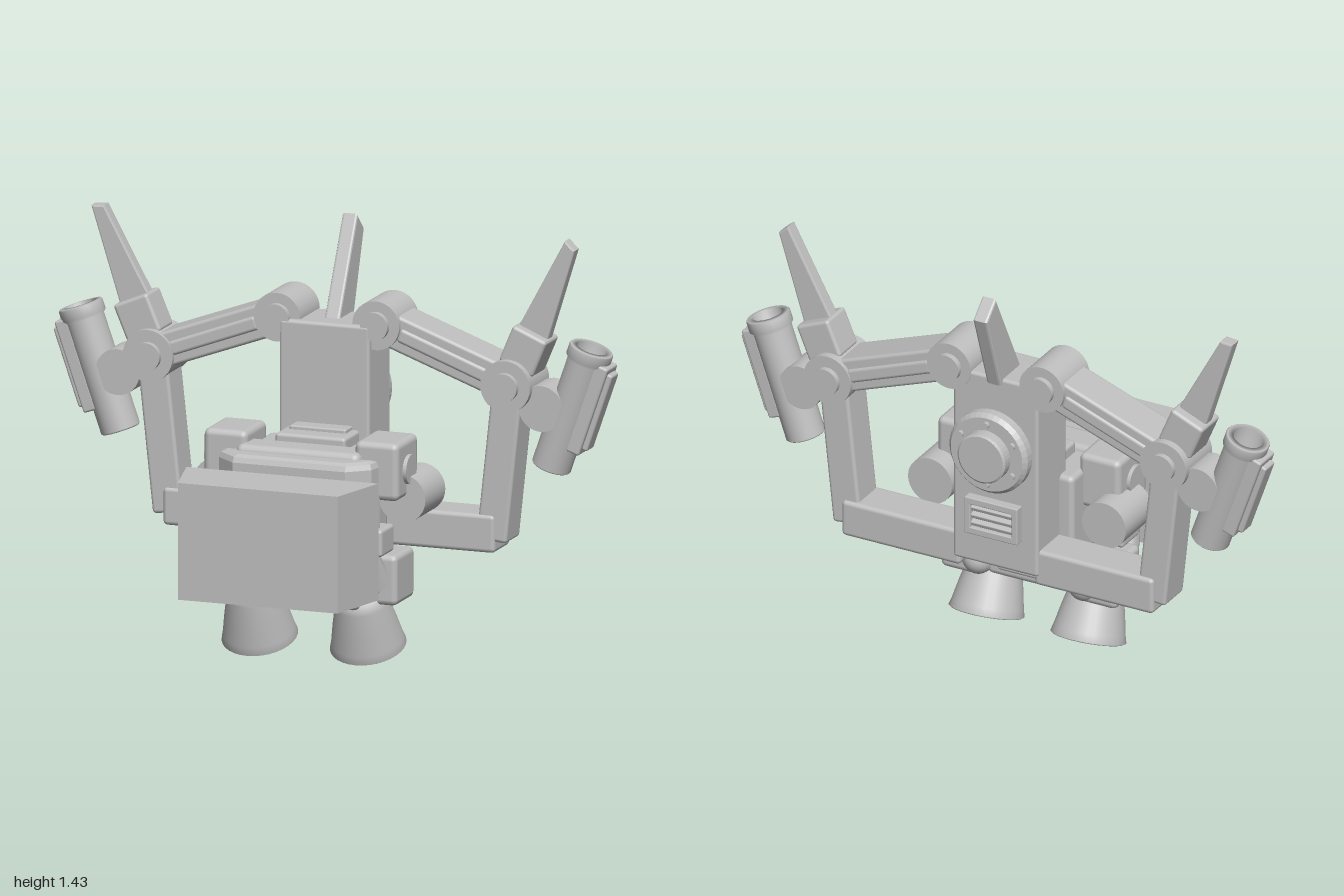
import * as THREE from 'three';
import { RoundedBoxGeometry } from 'three/addons/geometries/RoundedBoxGeometry.js';

const grey = new THREE.MeshStandardMaterial({ color: 0xbfbfbf });
grey.name = 'pale grey';
const greyOpen = new THREE.MeshStandardMaterial({ color: 0xbfbfbf, side: THREE.DoubleSide });
greyOpen.name = 'pale grey two-sided';

const ARM_Z = -0.262;

export function createModel() {
  const root = new THREE.Group();
  root.name = 'backpack';

  const add = (name, geometry, x, y, z, parent = root, material = grey) => {
    const mesh = new THREE.Mesh(geometry, material);
    mesh.name = name;
    mesh.position.set(x, y, z);
    parent.add(mesh);
    return mesh;
  };
  // Softened box given by its limits
  const box = (name, x0, x1, y0, y1, z0, z1, r = 0.012, parent = root) =>
    add(name, new RoundedBoxGeometry(Math.abs(x1 - x0), y1 - y0, z1 - z0, 2, r),
      (x0 + x1) / 2, (y0 + y1) / 2, (z0 + z1) / 2, parent);
  // Cylinder along z
  const drum = (name, x, y, z, r, depth, parent = root, seg = 32) => {
    const m = add(name, new THREE.CylinderGeometry(r, r, depth, seg), x, y, z, parent);
    m.rotation.x = Math.PI / 2;
    return m;
  };
  // Limb segment between two points in the arm plane
  const bar = (name, x0, y0, x1, y1, w, d) => {
    const m = add(name, new RoundedBoxGeometry(Math.hypot(x1 - x0, y1 - y0), w, d, 2, 0.012),
      (x0 + x1) / 2, (y0 + y1) / 2, ARM_Z);
    m.rotation.z = Math.atan2(y1 - y0, x1 - x0);
    return m;
  };
  // Flat polygon with depth, centred on z = 0
  const slab = (points, depth, bevel = 0) => {
    const g = new THREE.ExtrudeGeometry(new THREE.Shape(points.map(p => new THREE.Vector2(...p))), {
      depth: depth - 2 * bevel, bevelEnabled: bevel > 0, bevelSize: bevel, bevelOffset: -bevel,
      bevelThickness: bevel, bevelSegments: 2,
    });
    return g.translate(0, 0, -depth / 2 + bevel);
  };

  // Tapered block in front
  const front = slab([[-0.34, -0.235], [-0.283, -0.463], [0.283, -0.463], [0.34, -0.235]], 0.397);
  add('frontBlock', front, 0, 0.478, 0).rotation.x = -Math.PI / 2;

  // Chest: bevelled plan shape and the core behind it
  const chest = slab([[-0.28, -0.06], [-0.27, -0.115], [-0.2, -0.175], [0.2, -0.175], [0.27, -0.115], [0.28, -0.06]], 0.47, 0.025);
  add('chestPlate', chest, 0, 0.48, 0).rotation.x = -Math.PI / 2;
  box('chestFrame', -0.22, 0.22, 0.2, 0.735, -0.02, 0.105, 0.025);
  box('core', -0.21, 0.21, 0.395, 0.715, -0.2, 0.04, 0.02);
  box('topPad', -0.125, 0.125, 0.7, 0.755, -0.18, -0.02);
  box('topRidge', -0.1, 0.1, 0.75, 0.768, -0.17, -0.09, 0.006);
  box('bellyBlock', -0.16, 0.16, 0.23, 0.4, -0.12, 0.05, 0.02);
  box('bellyPanel', -0.11, 0.11, 0.265, 0.35, -0.14, -0.1, 0.01);

  // Rear column with round hatch and vent
  box('column', -0.16, 0.16, 0.4, 1.11, -0.35, -0.15, 0.012);
  drum('hatchNeck', 0, 0.85, -0.36, 0.12, 0.04);
  const hatch = new THREE.LatheGeometry([[0, 0], [0.148, 0], [0.148, 0.03], [0.135, 0.045],
    [0.09, 0.045], [0.09, 0.08], [0.083, 0.085], [0, 0.085]].map(p => new THREE.Vector2(...p)), 40);
  const hatchMesh = add('hatch', hatch.toNonIndexed(), 0, 0.85, -0.365);
  hatchMesh.geometry.computeVertexNormals();
  hatchMesh.rotation.x = -Math.PI / 2;
  for (let i = 0; i < 6; i++) {
    const a = (i + 0.5) * Math.PI / 3;
    drum('hatchBolt', 0.112 * Math.cos(a), 0.85 + 0.112 * Math.sin(a), -0.413, 0.012, 0.02, root, 12);
  }
  for (const e of [-1, 1]) {
    box('ventRail', -0.1, 0.1, 0.5875 + e * 0.055 - 0.0125, 0.5875 + e * 0.055 + 0.0125, -0.382, -0.34, 0.004);
    box('ventSide', e * 0.1, e * 0.078, 0.52, 0.655, -0.382, -0.34, 0.004);
  }
  for (let i = -1; i <= 1; i++) {
    const slat = box('ventSlat', -0.085, 0.085, 0.579 + i * 0.028, 0.596 + i * 0.028, -0.375, -0.345, 0.004);
    slat.rotation.x = -0.35;
  }

  // Crest fin leaning back
  const crest = add('crestFin', slab([[0.215, 1.09], [0.36, 1.09], [0.457, 1.37], [0.392, 1.43]], 0.054, 0.008), 0, 0, 0);
  crest.rotation.y = Math.PI / 2;

  for (const s of [1, -1]) {
    // Shoulder and hip pods
    box('upperPod', s * 0.19, s * 0.345, 0.575, 0.772, -0.127, 0.07, 0.022);
    const cap = add('podCap', new THREE.CylinderGeometry(0.05, 0.05, 0.02, 24), s * 0.348, 0.67, -0.026);
    cap.rotation.z = Math.PI / 2;
    box('lowerPod', s * 0.18, s * 0.332, 0.215, 0.387, -0.127, 0.048, 0.02);
    box('podLink', s * 0.2, s * 0.3, 0.39, 0.483, -0.02, 0.1);
    const lug = add('sideLug', new THREE.CylinderGeometry(0.04, 0.065, 0.12, 8), s * 0.25, 0.35, 0.085);
    lug.rotation.x = 0.5;
    add('rearKnuckle', new THREE.SphereGeometry(0.055, 20, 12), s * 0.2, 0.27, -0.1);
    drum('sideTank', s * 0.328, 0.57, -0.108, 0.083, 0.185);

    // Tilted thruster bell, hollow from below
    const bell = new THREE.Group();
    bell.name = 'thruster';
    bell.position.set(s * 0.192, 0.05, -0.06);
    bell.rotation.x = 0.36;
    root.add(bell);
    const profile = [[0, 0.21], [0.08, 0.21], [0.09, 0.17], [0.107, 0.1], [0.121, 0.03], [0.128, 0.004],
      [0.122, 0], [0.112, 0.015], [0.09, 0.1], [0.06, 0.16], [0, 0.175]];
    add('thrusterBell', new THREE.LatheGeometry(profile.reverse().map(p => new THREE.Vector2(...p)), 32), 0, 0, 0, bell, greyOpen);

    // Jointed arm
    const joint = (name, x, y, r) => {
      drum(name, x, y, ARM_Z, r, 0.18);
      drum(name + 'Boss', x, y, ARM_Z, 0.048, 0.22);
    };
    joint('shoulderJoint', s * 0.175, 1.11, 0.083);
    joint('elbowJoint', s * 0.633, 0.94, 0.088);
    bar('upperArm', s * 0.2, 1.1, s * 0.61, 0.95, 0.118, 0.15);
    bar('upperArmRib', s * 0.25, 1.083, s * 0.56, 0.967, 0.05, 0.165);
    bar('forearm', s * 0.628, 0.92, s * 0.573, 0.405, 0.108, 0.13);
    box('lowerArm', s * 0.14, s * 0.588, 0.365, 0.495, -0.34, -0.19, 0.015);

    // Elbow fin with its socket
    const fin = new THREE.Group();
    fin.name = 'elbowFin';
    fin.position.set(s * 0.633, 0.94, ARM_Z);
    fin.rotation.z = -s * 0.4;
    root.add(fin);
    box('finSocket', -0.065, 0.065, 0.06, 0.195, -0.062, 0.062, 0.012, fin);
    add('finBlade', slab([[-0.06, 0.14], [0.06, 0.14], [0.022, 0.515], [-0.022, 0.53]], 0.048, 0.006), 0, 0, 0, fin);

    // Outer barrel: hollow top, side plate, pivot drum
    drum('barrelPivot', s * 0.75, 0.87, ARM_Z, 0.078, 0.13);
    const barrel = new THREE.Group();
    barrel.name = 'barrel';
    barrel.position.set(s * 0.762, 0.66, ARM_Z);
    barrel.rotation.z = -s * 0.335;
    root.add(barrel);
    const tube = [[0, 0], [0.062, 0], [0.067, 0.005], [0.067, 0.39], [0.076, 0.4], [0.076, 0.435],
      [0.072, 0.44], [0.052, 0.44], [0.05, 0.3], [0, 0.3]];
    add('barrelTube', new THREE.LatheGeometry(tube.map(p => new THREE.Vector2(...p)), 28), 0, 0, 0, barrel, greyOpen);
    box('barrelPlate', s * 0.04, s * 0.09, 0.09, 0.41, -0.05, 0.05, 0.008, barrel);
    box('barrelRidge', s * 0.08, s * 0.108, 0.11, 0.39, -0.033, 0.033, 0.008, barrel);
  }
  return root;
}
